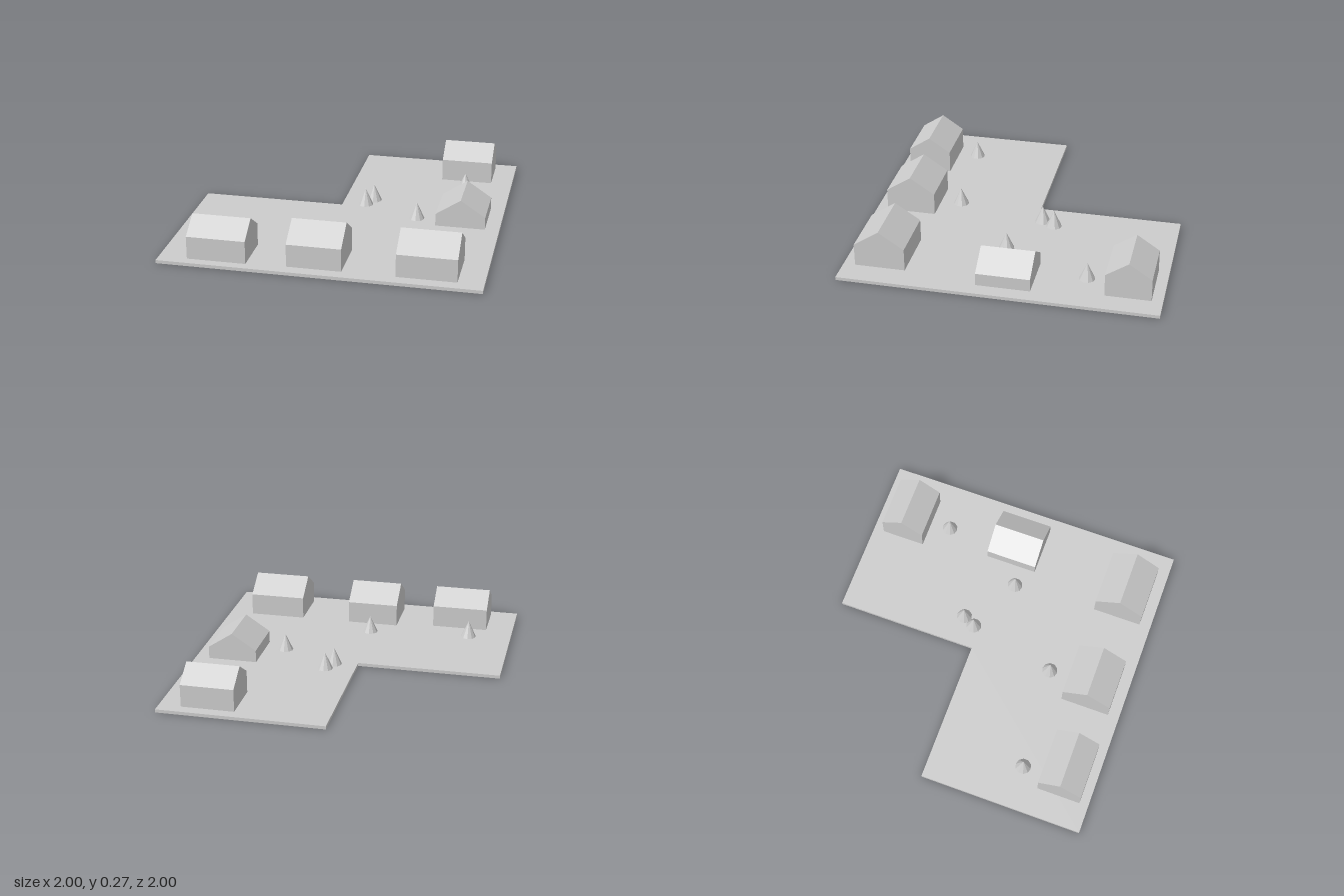
import * as THREE from 'three';

const GROUND = 0.021; // top of the base slab

// Closed outline from [x, y] points
const outline = (pts) => new THREE.Shape(pts.map(([x, y]) => new THREE.Vector2(x, y)));

export function createModel() {
  const model = new THREE.Group();
  const grey = new THREE.MeshStandardMaterial({ color: 0xcccccc, flatShading: true });
  grey.name = 'plain grey';

  const add = (name, geometry) => {
    const mesh = new THREE.Mesh(geometry, grey);
    mesh.name = name;
    model.add(mesh);
    return mesh;
  };

  // L-shaped base slab, drawn in plan (shape y is -z)
  const plan = outline([[-1, -1], [1, -1], [1, 1], [-0.07, 1], [-0.07, 0.07], [-1, 0.07]]);
  add('baseSlab', new THREE.ExtrudeGeometry(plan, { depth: GROUND, bevelEnabled: false }).rotateX(-Math.PI / 2));

  // Gabled house: a pentagon section extruded along its ridge
  const addHouse = ({ name, x, z, span, length, eaves, ridge, ridgeAlongX = true }) => {
    const h = span / 2;
    const gable = outline([[-h, 0], [h, 0], [h, eaves - GROUND], [0, ridge - GROUND], [-h, eaves - GROUND]]);
    const geometry = new THREE.ExtrudeGeometry(gable, { depth: length, bevelEnabled: false });
    geometry.translate(0, 0, -length / 2);
    if (ridgeAlongX) geometry.rotateY(Math.PI / 2);
    add(name, geometry).position.set(x, GROUND, z);
  };

  [
    { name: 'frontRightHouse', x: -0.635, z: 0.798, span: 0.285, length: 0.37, eaves: 0.167, ridge: 0.262 },
    { name: 'frontMiddleHouse', x: -0.03, z: 0.765, span: 0.32, length: 0.34, eaves: 0.167, ridge: 0.273 },
    { name: 'frontLeftHouse', x: 0.655, z: 0.765, span: 0.32, length: 0.37, eaves: 0.167, ridge: 0.273 },
    { name: 'backHouse', x: 0.688, z: -0.788, span: 0.285, length: 0.34, eaves: 0.167, ridge: 0.262 },
    { name: 'lowHouse', x: 0.748, z: -0.03, span: 0.32, length: 0.34, eaves: 0.102, ridge: 0.208, ridgeAlongX: false },
  ].forEach(addHouse);

  // Cone trees
  const treeHeight = 0.112;
  const treeGeometry = new THREE.ConeGeometry(0.051, treeHeight, 10);
  [[0.695, -0.512], [0.124, -0.194], [0.082, -0.112], [0.452, 0.048], [-0.041, 0.469], [-0.715, 0.523]]
    .forEach(([x, z], i) => add(`tree${i + 1}`, treeGeometry).position.set(x, GROUND + treeHeight / 2, z));

  return model;
}
